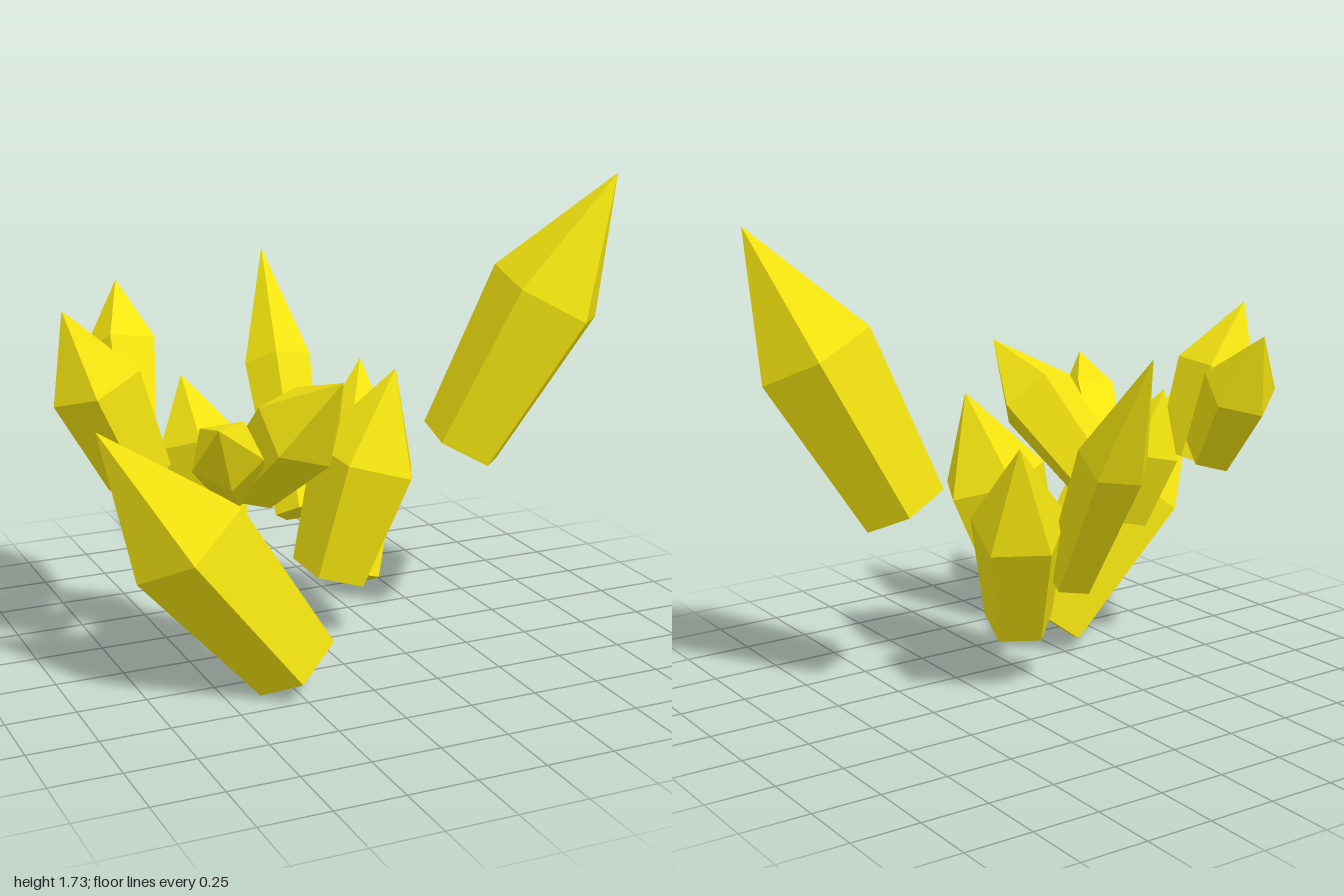
import * as THREE from 'three';

// Each crystal: centre of its base, its tip, shoulder radius, and a point its first edge turns towards
const CRYSTALS = [
  { name: 'tallOuterCrystal', base: [0.53, 0.74, 0.13], tip: [1.0, 1.74, 0.37], radius: 0.22, edge: [0.83, 1.24, 0.47] },
  { name: 'lowLeaningCrystal', base: [-0.245, 0.106, 0.37], tip: [-0.92, 1.0, 0.31], radius: 0.23, edge: [-0.8, 0.47, 0.35] },
  { name: 'sideCrystal', base: [-0.69, 0.76, 0.06], tip: [-0.94, 1.35, 0.04], radius: 0.165, edge: [-1.0, 1.03, 0.05] },
  { name: 'slenderBackCrystal', base: [0.0, 0.46, -0.14], tip: [0.09, 1.36, -0.72], radius: 0.13, edge: [-0.08, 0.97, -0.48] },
  { name: 'backSideCrystal', base: [-0.65, 0.83, -0.13], tip: [-0.58, 1.33, -0.49], radius: 0.14, edge: [-0.73, 1.15, -0.4] },
  { name: 'middleCrystal', base: [-0.02, 0.35, 0.19], tip: [0.19, 1.09, 0.26], radius: 0.2, edge: [0.28, 0.74, 0.2] },
  { name: 'middleBackCrystal', base: [0.1, 0.26, 0.05], tip: [0.3, 1.0, -0.26], radius: 0.18, edge: [0.38, 0.59, -0.18] },
  { name: 'frontCrystal', base: [-0.34, 0.73, 0.21], tip: [-0.21, 1.18, 0.69], radius: 0.16, edge: [-0.1, 0.97, 0.44] },
  { name: 'frontSmallCrystal', base: [-0.4, 0.74, 0.22], tip: [-0.65, 1.08, 0.72], radius: 0.125, edge: [-0.65, 0.89, 0.49] },
  { name: 'innerSmallCrystal', base: [-0.42, 0.57, 0.11], tip: [-0.5, 1.07, -0.03], radius: 0.145, edge: [-0.62, 0.84, 0.04] },
];

const SIDES = 5;
const SHOULDER = 0.56; // height of the shoulder as a share of the length
const TAPER = 0.73; // base radius as a share of the shoulder radius

function createCrystal({ name, base, tip, radius, edge }, material) {
  const foot = new THREE.Vector3(...base);
  const axis = new THREE.Vector3(...tip).sub(foot);
  const length = axis.length();
  axis.normalize();

  // Flat base, widening shaft and pointed top
  const profile = [
    new THREE.Vector2(0, 0),
    new THREE.Vector2(radius * TAPER, 0),
    new THREE.Vector2(radius, length * SHOULDER),
    new THREE.Vector2(0, length),
  ];
  const geometry = new THREE.LatheGeometry(profile, SIDES).toNonIndexed();
  geometry.computeVertexNormals();

  // Lean along the axis, rolled so that the first edge faces its reference point
  const out = new THREE.Vector3(...edge).sub(foot).projectOnPlane(axis).normalize();
  const side = new THREE.Vector3().crossVectors(axis, out);
  const mesh = new THREE.Mesh(geometry, material);
  mesh.name = name;
  mesh.quaternion.setFromRotationMatrix(new THREE.Matrix4().makeBasis(side, axis, out));
  mesh.position.copy(foot);
  return mesh;
}

export function createModel() {
  const group = new THREE.Group();
  group.name = 'crystalCluster';
  const material = new THREE.MeshStandardMaterial({ color: 0xf2e30f, flatShading: true });
  for (const crystal of CRYSTALS) group.add(createCrystal(crystal, material));
  return group;
}
